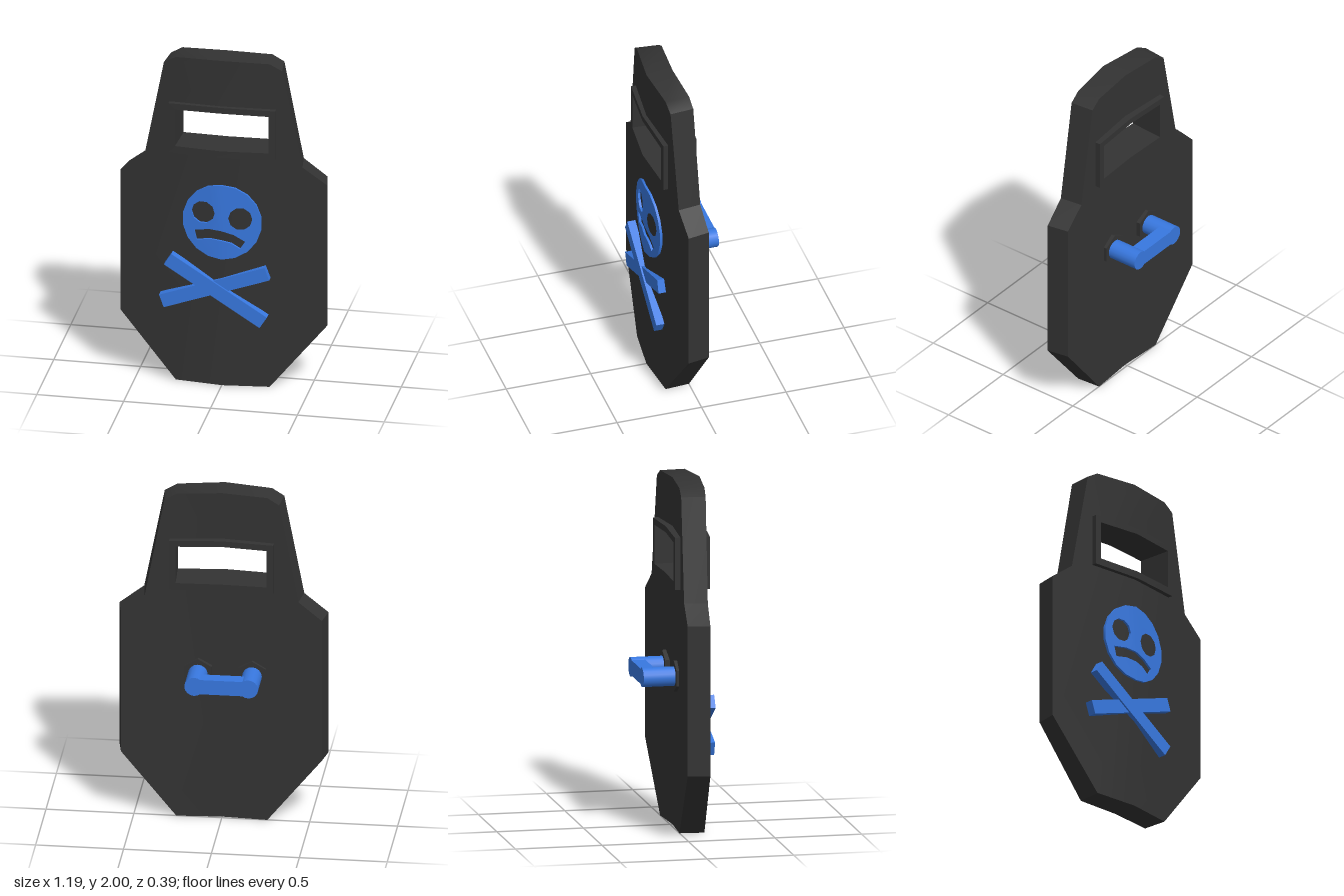
import * as THREE from 'three';
import { mergeGeometries, toCreasedNormals } from 'three/addons/utils/BufferGeometryUtils.js';

const black = new THREE.MeshStandardMaterial({ color: 0x333333 });
const blue = new THREE.MeshStandardMaterial({ color: 0x3878e0 });

const shapeOf = (pts) => new THREE.Shape(pts.map(([x, y]) => new THREE.Vector2(x, y)));
const mirrored = (pts) => pts.map(([x, y]) => [-x, y]);

// Two half outlines meeting at x = 0, extruded and folded back about the centre line.
// front and back are [z at the centre, slope away from it]; the rear is slightly narrower.
function foldedPlate(halves, front, back, rearScale = 0.96) {
  const parts = halves.map((shape) => {
    const geo = new THREE.ExtrudeGeometry(shape, { depth: 1, bevelEnabled: false, curveSegments: 5 });
    const p = geo.attributes.position;
    for (let i = 0; i < p.count; i++) {
      const t = p.getZ(i);
      const x = p.getX(i) * THREE.MathUtils.lerp(rearScale, 1, t);
      const [z0, slope] = t > 0.5 ? front : back;
      p.setXYZ(i, x, p.getY(i), z0 + slope * Math.abs(x));
    }
    geo.clearGroups();
    return geo;
  });
  return toCreasedNormals(mergeGeometries(parts), 0.5);
}

const bothSides = (pts) => [shapeOf(pts), shapeOf(mirrored(pts))];

export function createModel() {
  const model = new THREE.Group();
  const add = (name, geo, mat, parent = model) => {
    const mesh = new THREE.Mesh(geo, mat);
    mesh.name = name;
    parent.add(mesh);
    return mesh;
  };

  // Shield body, with the window notched out of each half
  const body = [
    [0, 0], [0.27, 0], [0.595, 0.39], [0.595, 1.255], [0.455, 1.36], [0.34, 1.95], [0.27, 1.99], [0, 2],
    [0, 1.69], [0.275, 1.68], [0.275, 1.45], [0, 1.45],
  ];
  add('shieldBody', foldedPlate(bothSides(body), [0.17, -0.108], [0.015, -0.062]), black);

  // Window surround, proud of both faces
  const frame = [
    [0, 1.41], [0.308, 1.41], [0.308, 1.712], [0, 1.72],
    [0, 1.685], [0.27, 1.677], [0.27, 1.452], [0, 1.452],
  ];
  add('windowFrame', foldedPlate(bothSides(frame), [0.193, -0.09], [-0.025, -0.035]), black);

  // Skull face: each half is an arc plus its part of the mouth, with one eye hole
  const arc = [];
  for (let i = 0; i <= 9; i++) {
    const a = (i / 9) * Math.PI;
    arc.push([0.228 * Math.sin(a), 1.008 + 0.228 * Math.cos(a)]);
  }
  const mouthLeft = [[0, 0.895], [0.055, 0.882], [0.105, 0.85], [0.135, 0.895], [0.07, 0.934], [0, 0.955]];
  const mouthRight = [[0, 0.895], [-0.07, 0.9], [-0.145, 0.885], [-0.16, 0.945], [-0.07, 0.96], [0, 0.955]];
  const faceLeft = shapeOf([...arc, ...mouthLeft]);
  const faceRight = shapeOf([...mirrored(arc), ...mouthRight]);
  faceLeft.holes.push(new THREE.Path().absarc(0.107, 1.035, 0.068, 0, Math.PI * 2, true));
  faceRight.holes.push(new THREE.Path().absarc(-0.107, 1.06, 0.068, 0, Math.PI * 2, true));
  add('skull', foldedPlate([faceLeft, faceRight], [0.183, -0.1], [0.15, -0.1], 1), blue);

  // Crossed bones
  const bones = new THREE.Group();
  bones.name = 'crossedBones';
  model.add(bones);
  for (const [x1, y1, x2, y2, z] of [
    [-0.307, 0.762, 0.243, 0.415, 0.17],
    [-0.345, 0.497, 0.262, 0.712, 0.16],
  ]) {
    const length = Math.hypot(x2 - x1, y2 - y1);
    const bone = add('bone', new THREE.BoxGeometry(length, 0.08, 0.048), blue, bones);
    bone.position.set((x1 + x2) / 2, (y1 + y2) / 2, z);
    bone.rotation.z = Math.atan2(y2 - y1, x2 - x1);
  }

  // Rear handle: two posts in hexagonal mounts, joined by a flat bar
  const handle = new THREE.Group();
  handle.name = 'handle';
  handle.position.set(-0.02, 0.89, 0);
  model.add(handle);
  for (const s of [-1, 1]) {
    const post = add('handlePost', new THREE.CylinderGeometry(0.056, 0.056, 0.22, 16), blue, handle);
    post.rotation.x = -Math.PI / 2;
    post.position.set(s * 0.154, 0, -0.09);
    const mount = add('handleMount',
      toCreasedNormals(new THREE.CylinderGeometry(0.09, 0.09, 0.04, 6), 0.3), black, handle);
    mount.rotation.x = -Math.PI / 2;
    mount.position.set(s * 0.154, 0, 0.004);
  }
  add('handleBar', new THREE.BoxGeometry(0.308, 0.088, 0.08), blue, handle).position.z = -0.16;

  return model;
}
